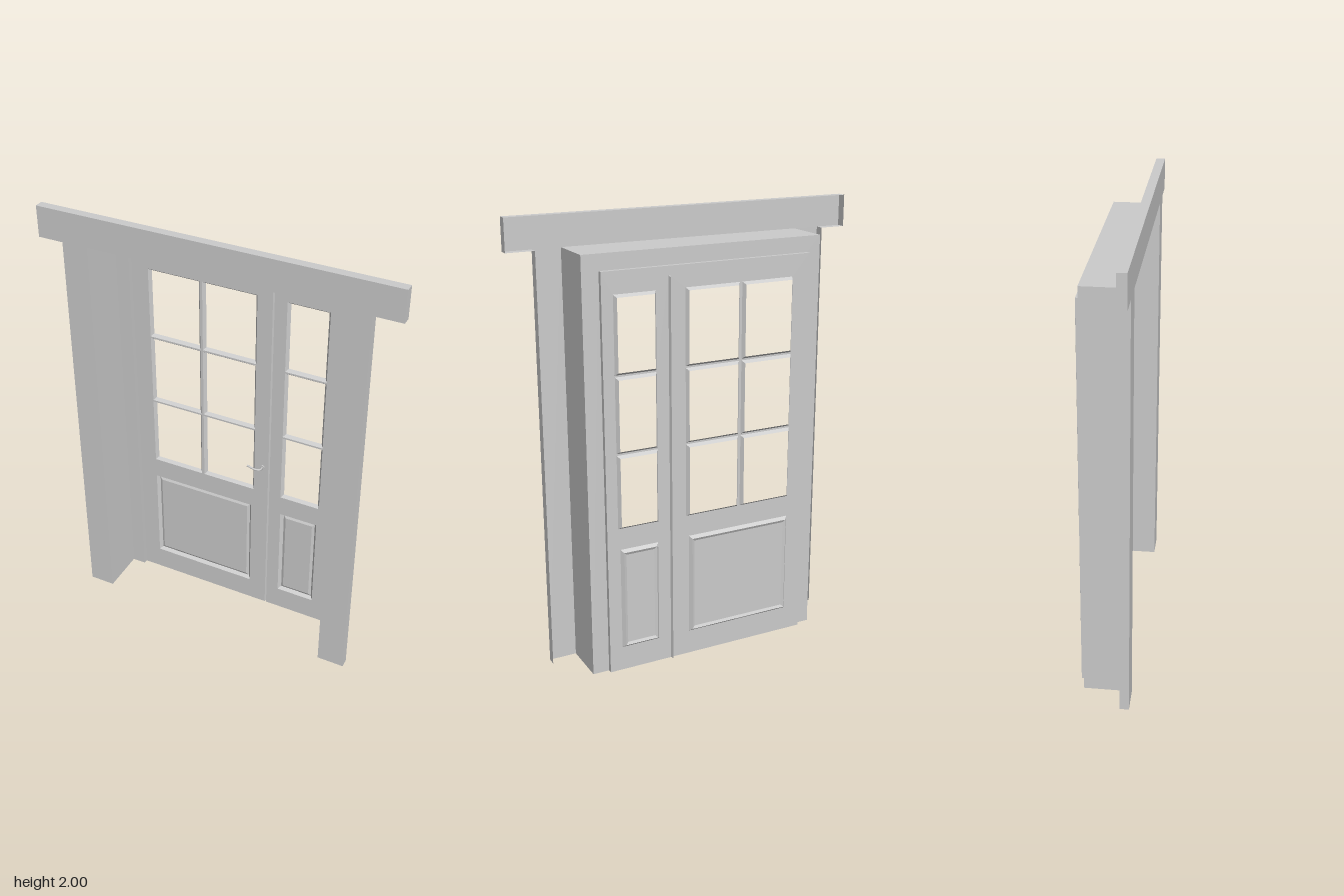
import * as THREE from 'three';

const material = new THREE.MeshStandardMaterial({ color: 0xcccccc, side: THREE.DoubleSide });

// Depth of each layer, front to back
const FRONT = 0.12, RETURN = 0.08, STOP = -0.09, LEAF = -0.11, BACK = -0.125;

const rect = (x0, x1, y0, y1) => [[x0, y0], [x1, y0], [x1, y1], [x0, y1]];
const grow = ([x0, x1, y0, y1], d) => [x0 - d, x1 + d, y0 - d, y1 + d];
const arch = (x0, x1, y) => [[x0, 0], [x0, y], [x1, y], [x1, 0]];

function add(parent, name, geometry) {
  const mesh = new THREE.Mesh(geometry, material);
  mesh.name = name;
  parent.add(mesh);
  return mesh;
}

// Flat sheet facing +z, with holes
function sheet(parent, name, outline, z, holes = []) {
  const path = (pts) => pts.map((p) => new THREE.Vector2(...p));
  const shape = new THREE.Shape(path(outline));
  holes.forEach((h) => shape.holes.push(new THREE.Path(path(h))));
  return add(parent, name, new THREE.ShapeGeometry(shape).translate(0, 0, z));
}

// Strip of quads joining two matching outlines at different depths
function bridge(parent, name, a, za, b, zb, closed = true) {
  const pos = [];
  const n = a.length;
  for (let i = 0; i < (closed ? n : n - 1); i++) {
    const j = (i + 1) % n;
    const A = [...a[i], za], B = [...a[j], za], C = [...b[j], zb], D = [...b[i], zb];
    pos.push(...A, ...B, ...C, ...A, ...C, ...D);
  }
  const g = new THREE.BufferGeometry();
  g.setAttribute('position', new THREE.Float32BufferAttribute(pos, 3));
  g.computeVertexNormals();
  return add(parent, name, g);
}

export function createModel() {
  const model = new THREE.Group();
  model.name = 'doorway';

  // Casing: side boards and wide head board, folded back along the outer edge
  const casing = new THREE.Group();
  casing.name = 'casing';
  model.add(casing);
  const outer = [[-0.685, 0], [-0.685, 1.86], [-0.8, 1.86], [-0.8, 2], [0.8, 2], [0.8, 1.86], [0.675, 1.86], [0.675, 0]];
  const opening = arch(-0.565, 0.55, 1.86);
  sheet(casing, 'casingFace', [...outer, ...opening.slice().reverse()], FRONT);
  bridge(casing, 'casingReturn', outer, FRONT, outer, RETURN, false);

  // Deep reveal, narrow stop around the door and the step behind it
  const frame = new THREE.Group();
  frame.name = 'frame';
  model.add(frame);
  const rebate = arch(-0.5, 0.475, 1.79);
  bridge(frame, 'reveal', opening, FRONT, opening, STOP, false);
  sheet(frame, 'doorStop', [...opening, ...rebate.slice().reverse()], STOP);
  bridge(frame, 'rebate', rebate, STOP, rebate, LEAF, false);

  // Glazed openings and lower panels as [x0, x1, y0, y1]
  const columns = [[-0.408, -0.181], [-0.147, 0.088], [0.245, 0.413]];
  const rows = [[0.69, 1.0], [1.03, 1.34], [1.37, 1.683]];
  const panes = columns.flatMap((c) => rows.map((r) => [...c, ...r]));
  const panels = [[-0.402, 0.07, 0.128, 0.565], [0.252, 0.4, 0.128, 0.565]];

  // Door and sidelight leaves, parted by a narrow groove
  const leaves = new THREE.Group();
  leaves.name = 'leaves';
  model.add(leaves);
  const groove = arch(0.169, 0.177, 1.75);
  sheet(leaves, 'leafFace', [...rebate, ...groove.slice().reverse()], LEAF, [
    ...panes.map((p) => rect(...grow(p, 0.011))),
    ...panels.map((p) => rect(...grow(p, 0.016))),
  ]);
  bridge(leaves, 'meetingGroove', groove, LEAF, arch(0.173, 0.173, 1.746), BACK, false);

  // Bevelled glazing beads around every open pane
  panes.forEach((p) => {
    bridge(leaves, 'glazingBead', rect(...grow(p, 0.011)), LEAF, rect(...p), BACK);
  });

  // Sunken lower panels with a slightly raised field
  panels.forEach((p) => {
    bridge(leaves, 'panelMoulding', rect(...grow(p, 0.016)), LEAF, rect(...grow(p, 0.004)), BACK);
    bridge(leaves, 'panelBevel', rect(...grow(p, 0.004)), BACK, rect(...grow(p, -0.008)), -0.119);
    sheet(leaves, 'panelField', rect(...grow(p, -0.008)), -0.119);
  });

  // Lever handle
  const handle = new THREE.Group();
  handle.name = 'handle';
  model.add(handle);
  const lever = new THREE.CatmullRomCurve3([
    new THREE.Vector3(0.14, 0.822, LEAF),
    new THREE.Vector3(0.139, 0.822, -0.085),
    new THREE.Vector3(0.12, 0.824, -0.075),
    new THREE.Vector3(0.08, 0.834, -0.075),
  ]);
  add(handle, 'lever', new THREE.TubeGeometry(lever, 16, 0.005, 6));
  add(handle, 'rose', new THREE.CylinderGeometry(0.011, 0.011, 0.006, 12)
    .rotateX(Math.PI / 2).translate(0.14, 0.822, LEAF + 0.003));

  return model;
}
